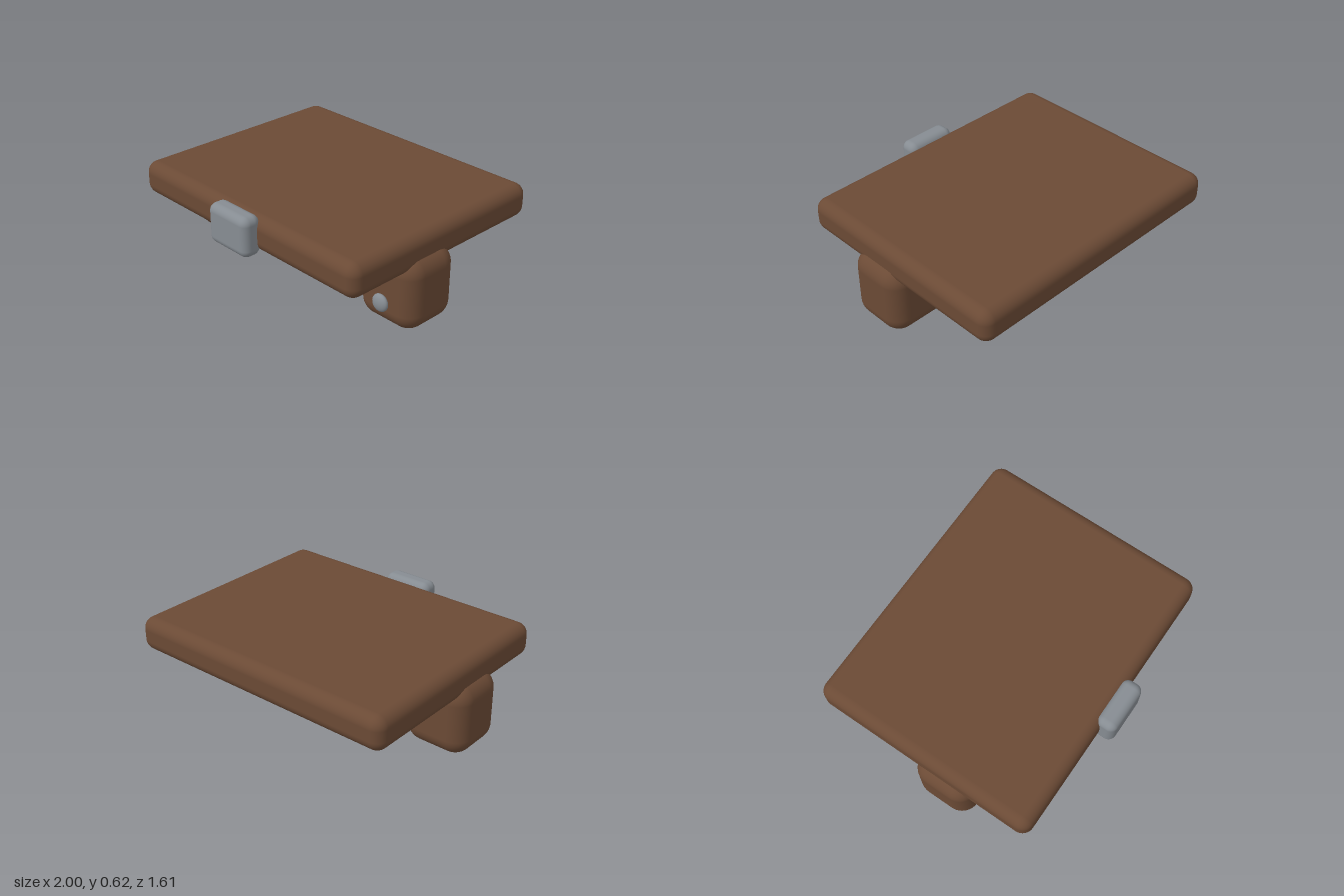
import * as THREE from 'three';
import { RoundedBoxGeometry } from 'three/addons/geometries/RoundedBoxGeometry.js';

export function createModel() {
  const group = new THREE.Group();
  const leather = new THREE.MeshStandardMaterial({ color: 0x6b4a35 });
  const metal = new THREE.MeshStandardMaterial({ color: 0x868c92 });

  const add = (name, geometry, material, x, y, z) => {
    const mesh = new THREE.Mesh(geometry, material);
    mesh.name = name;
    mesh.position.set(x, y, z);
    group.add(mesh);
    return mesh;
  };

  // Rounded box given by its minimum and maximum corners
  const block = (name, min, max, radius, material) => {
    const size = max.map((v, i) => v - min[i]);
    const mid = max.map((v, i) => (v + min[i]) / 2);
    return add(name, new RoundedBoxGeometry(...size, 6, radius), material, ...mid);
  };

  // Flat slab and the clasp on its front edge
  block('slab', [-0.948, 0.385, -0.803], [0.948, 0.607, 0.71], 0.075, leather);
  block('clasp', [-0.172, 0.366, 0.67], [0.172, 0.625, 0.803], 0.05, metal);

  // A foot with a flattened stud on each side
  for (const [side, s] of [['left', 1], ['right', -1]]) {
    const xs = [s * 0.565, s].sort((a, b) => a - b);
    block(side + 'Foot', [xs[0], 0, -0.1], [xs[1], 0.476, 0.305], 0.115, leather);
    const stud = add(side + 'Stud', new THREE.SphereGeometry(0.057, 32, 20), metal, s * 0.782, 0.162, 0.32);
    stud.scale.z = 0.5;
  }
  return group;
}
